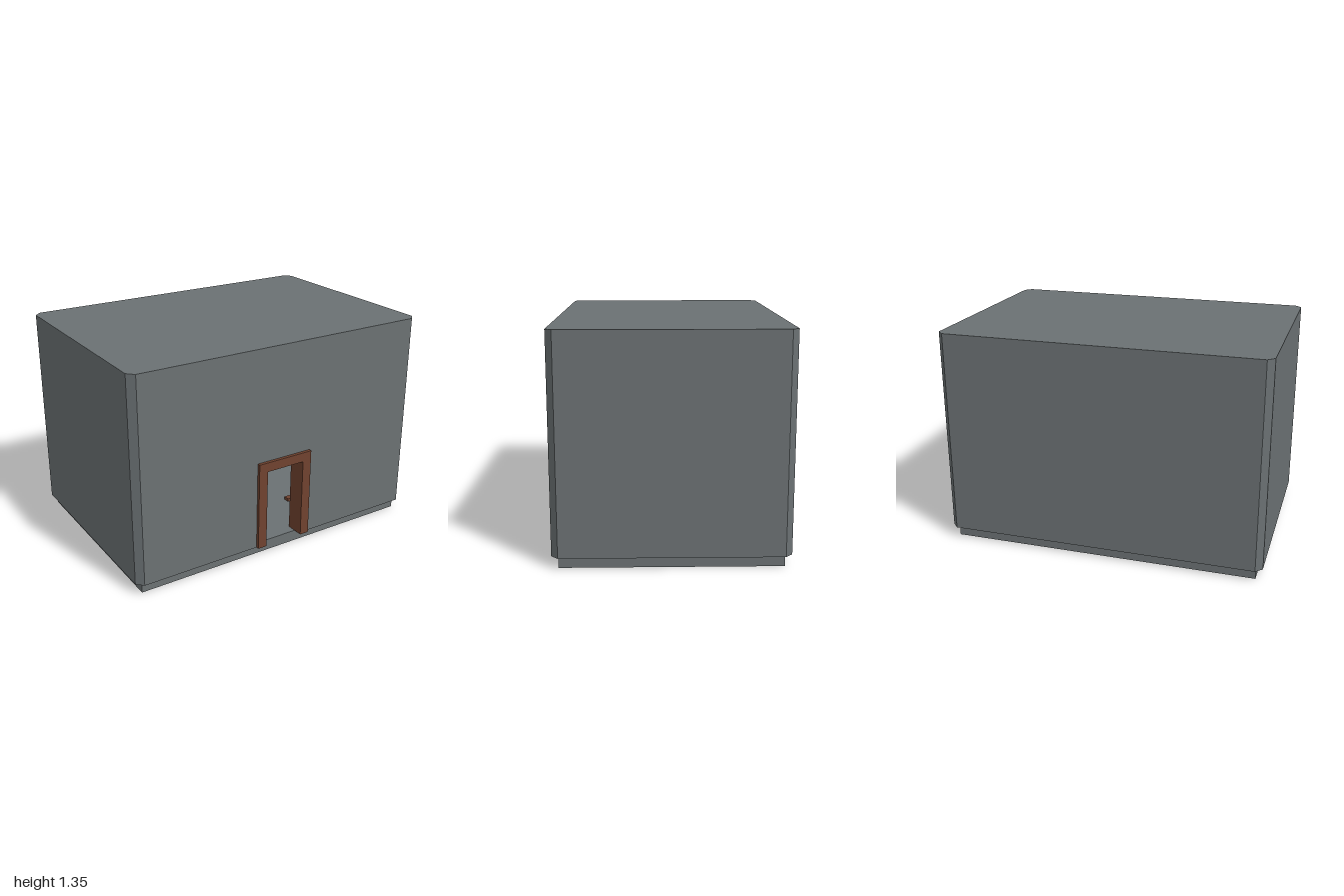
import * as THREE from 'three';

const stone = new THREE.MeshStandardMaterial({ color: 0x6b7173 });
stone.name = 'greyStone';
const wood = new THREE.MeshStandardMaterial({ color: 0x70422f });
wood.name = 'brownWood';

const FRONT = 0.67, BACK = -0.69, FLOOR = 0.07, TOP = 1.35, WALL = 0.08, CUT = 0.04;
const GAP = 0.16; // half width of the doorway cut in the wall

// extrude a plan outline given as [x, z] points between two heights
function slab(name, points, y0, y1, hole) {
  const toPlan = (p) => new THREE.Vector2(p[0], -p[1]);
  const shape = new THREE.Shape(points.map(toPlan));
  if (hole) shape.holes.push(new THREE.Path(hole.map(toPlan)));
  const geometry = new THREE.ExtrudeGeometry(shape, { depth: y1 - y0, bevelEnabled: false });
  geometry.rotateX(-Math.PI / 2).translate(0, y0, 0);
  const mesh = new THREE.Mesh(geometry, stone);
  mesh.name = name;
  return mesh;
}

function box(name, material, x0, x1, y0, y1, z0, z1) {
  const mesh = new THREE.Mesh(new THREE.BoxGeometry(x1 - x0, y1 - y0, z1 - z0), material);
  mesh.position.set((x0 + x1) / 2, (y0 + y1) / 2, (z0 + z1) / 2);
  mesh.name = name;
  return mesh;
}

export function createModel() {
  const model = new THREE.Group();
  model.name = 'building';

  // outline with cut corners, starting and ending on the front side
  const outer = [
    [1 - CUT, FRONT], [1, FRONT - CUT], [1, BACK + CUT], [1 - CUT, BACK],
    [-1 + CUT, BACK], [-1, BACK + CUT], [-1, FRONT - CUT], [-1 + CUT, FRONT],
  ];
  const ix = 1 - WALL, iz0 = BACK + WALL, iz1 = FRONT - WALL;
  const inner = [[-ix, iz1], [-ix, iz0], [ix, iz0], [ix, iz1]];

  // foundation, walls on either side of the doorway, walls above it, flat roof
  model.add(box('foundation', stone, -0.96, 0.96, 0, FLOOR, BACK + CUT, FRONT - CUT));
  model.add(slab('lowerWalls',
    [[GAP, FRONT], ...outer, [-GAP, FRONT], [-GAP, iz1], ...inner, [GAP, iz1]], FLOOR, 0.61));
  model.add(slab('upperWalls', outer, 0.61, TOP - WALL, inner));
  model.add(slab('roof', outer, TOP - WALL, TOP));

  // door frame, standing proud of the wall on both sides
  const frameShape = new THREE.Shape([
    [-0.19, FLOOR], [-0.13, FLOOR], [-0.13, 0.58], [0.13, 0.58],
    [0.13, FLOOR], [0.19, FLOOR], [0.19, 0.64], [-0.19, 0.64],
  ].map(([x, y]) => new THREE.Vector2(x, y)));
  const frame = new THREE.Mesh(
    new THREE.ExtrudeGeometry(frameShape, { depth: 0.12, bevelEnabled: false }), wood);
  frame.position.z = 0.57;
  frame.name = 'doorFrame';
  model.add(frame);

  // low platform and small wooden blocks on the floor of the room
  model.add(box('platform', stone, -ix, ix, FLOOR, 0.1, iz0, -0.3));
  model.add(box('floorBlockCentre', wood, -0.04, 0.04, FLOOR, 0.085, -0.1, -0.02));
  for (const [side, s] of [['Left', 1], ['Right', -1]]) {
    const block = box('floorBlock' + side, wood, -0.04, 0.04, FLOOR, 0.085, -0.1, -0.02);
    block.position.x = s * 0.16;
    const peg = box('floorPeg' + side, wood, -0.02, 0.02, FLOOR, 0.09, 0.26, 0.3);
    peg.position.x = s * 0.34;
    model.add(block, peg);
  }
  return model;
}
